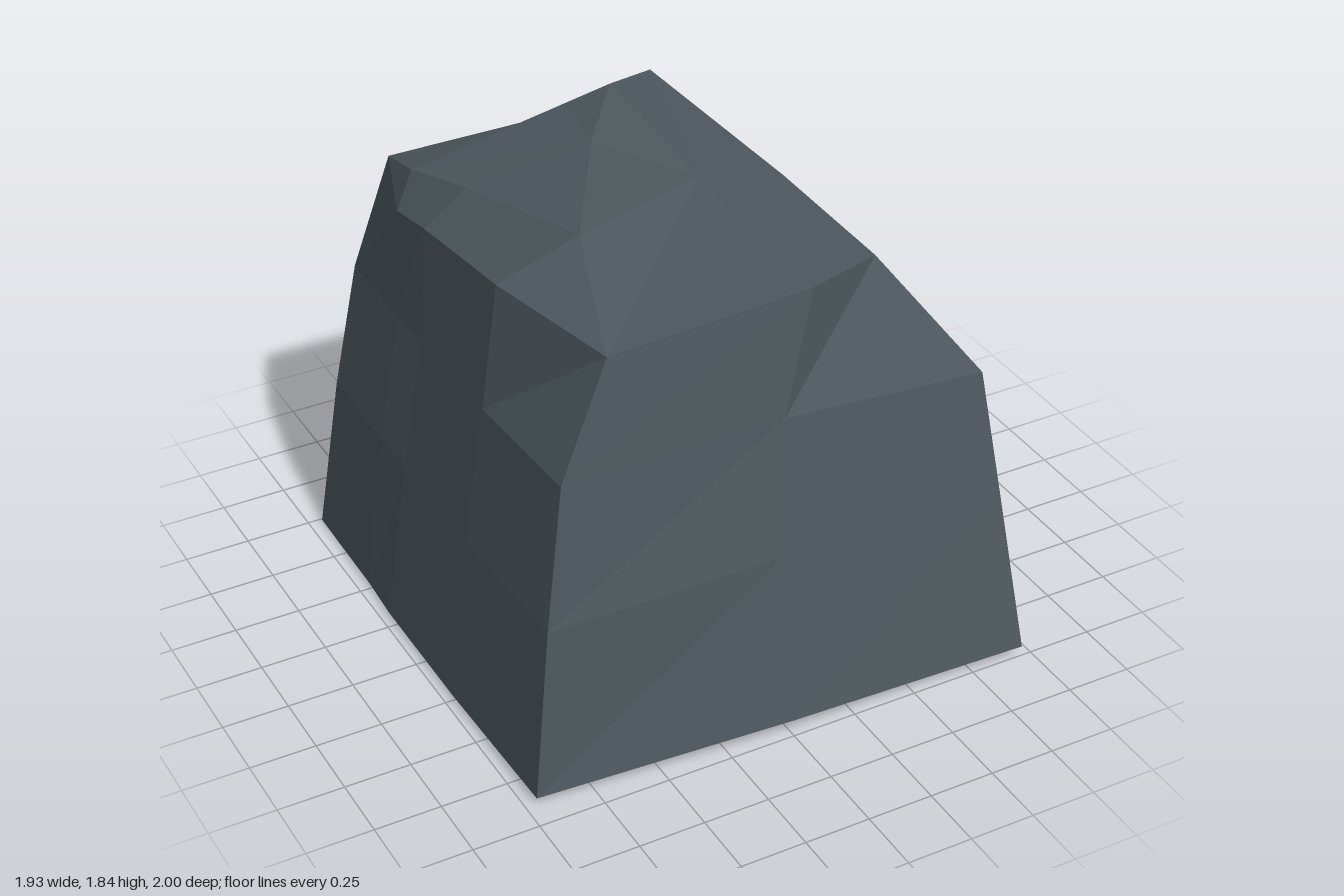
import * as THREE from 'three';

export function createModel() {
  const group = new THREE.Group();
  group.name = 'boulder';
  const slate = new THREE.MeshStandardMaterial({ color: 0x4b565c, flatShading: true });
  slate.name = 'slate grey';

  // Cross-sections from base to shoulder, anticlockwise from the front right corner (-x, +z)
  const base = [[-.96, .03, .9], [0, .07, 1], [.96, .04, 1], [.96, .04, 0], [.96, .04, -1],
    [0, 0, -.99], [-.95, .01, -.98], [-.96, .02, -.5], [-.97, .02, -.3], [-.97, .02, .25]];
  const lower = [[-.87, .66, .83], [.02, .68, .86], [.92, .62, .86], [.91, .6, .05], [.87, .6, -.92],
    [0, .6, -.91], [-.87, .65, -.93], [-.88, .65, -.5], [-.88, .65, -.3], [-.88, .65, .22]];
  const upper = [[-.77, 1.17, .75], [.08, 1.17, .75], [.88, 1.11, .75], [.85, 1.18, .1], [.73, 1.15, -.87],
    [0, 1.15, -.87], [-.78, 1.15, -.9], [-.79, 1.15, -.5], [-.79, 1.15, -.3], [-.79, 1.16, .2]];
  const shoulder = [[-.56, 1.57, .68], [.22, 1.61, .68], [.53, 1.59, .57], [.5, 1.63, 0], [.37, 1.74, -.75],
    [0, 1.59, -.86], [-.64, 1.59, -.86], [-.74, 1.535, -.57], [-.74, 1.58, -.34], [-.72, 1.63, .19]];
  const rings = [base, lower, upper, shoulder];

  const positions = [];
  // Adds a convex facet as a fan of flat triangles
  const facet = (...p) => {
    for (let i = 1; i < p.length - 1; i++) positions.push(...p[0], ...p[i], ...p[i + 1]);
  };

  // Sides and underside
  const n = base.length;
  for (let i = 0; i < n; i++) {
    const j = (i + 1) % n;
    for (let r = 0; r < rings.length - 1; r++) {
      facet(rings[r][i], rings[r][j], rings[r + 1][j], rings[r + 1][i]);
    }
    facet([0, 0, -.3], base[j], base[i]);
  }

  // Uneven crown: ridge points joined to the shoulder
  const B = [-.44, 1.78, .26], C = [.16, 1.71, -.01], D = [.1, 1.84, -.55], E = [-.06, 1.77, -.61];
  const F = [-.11, 1.79, -.29], G = [-.58, 1.705, -.33], H = [-.66, 1.66, -.61];
  const s = shoulder;
  facet(s[0], s[1], C, B);
  facet(s[1], s[2], s[3], C);
  facet(C, s[3], s[4], D);
  facet(s[4], s[5], E, D);
  facet(s[5], s[6], H, E);
  facet(s[6], s[7], H);
  facet(s[7], s[8], G, H);
  facet(s[8], s[9], B, G);
  facet(s[9], s[0], B);
  facet(H, G, F, E);
  facet(B, C, F, G);
  facet(F, C, D, E);

  const geometry = new THREE.BufferGeometry();
  geometry.setAttribute('position', new THREE.Float32BufferAttribute(positions, 3));
  geometry.computeVertexNormals();
  const rock = new THREE.Mesh(geometry, slate);
  rock.name = 'rock';
  group.add(rock);
  return group;
}
